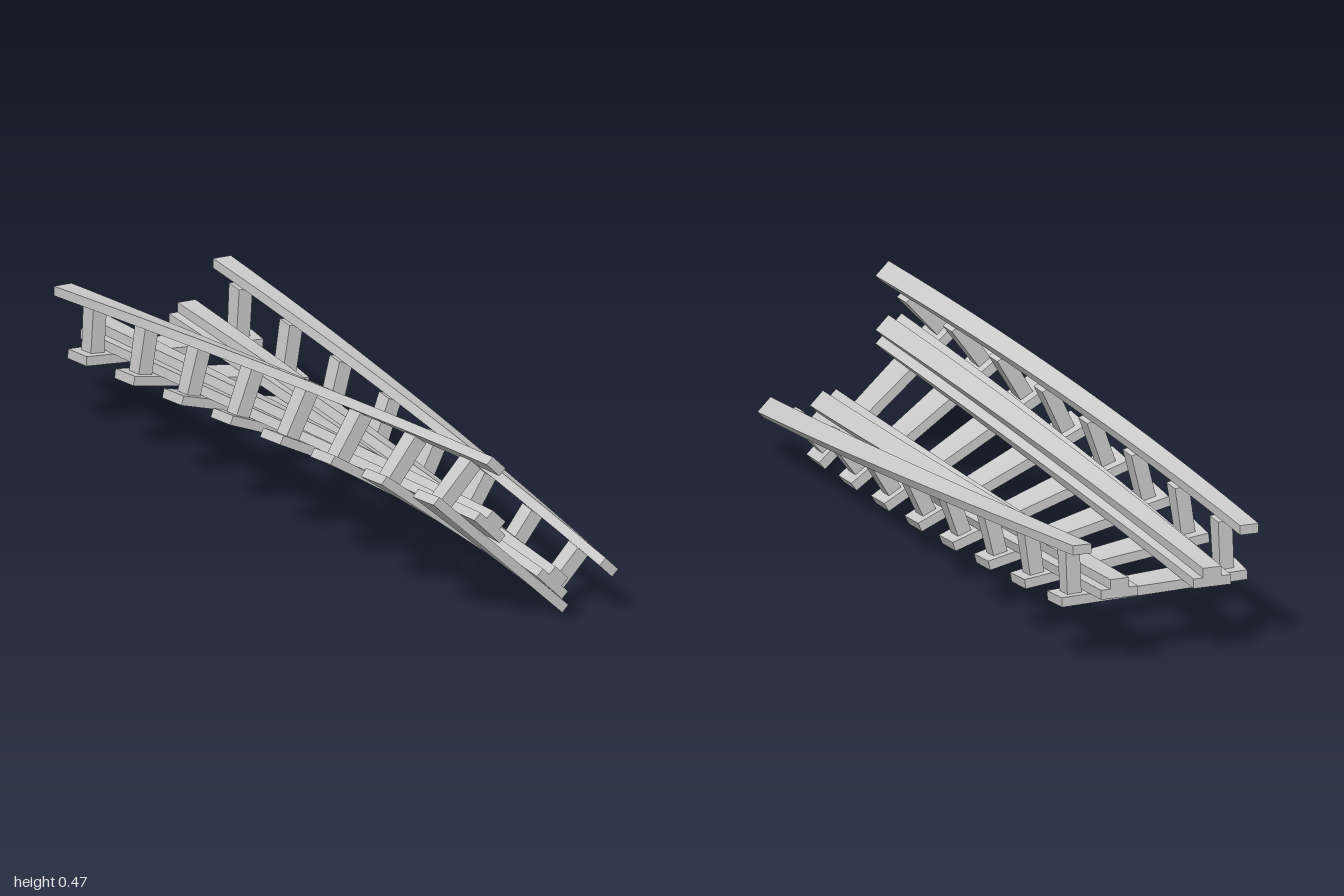
import * as THREE from 'three';
import { toCreasedNormals } from 'three/addons/utils/BufferGeometryUtils.js';

const material = new THREE.MeshStandardMaterial({ color: 0xcccccc });
const PIVOT = { x: -0.02, y: 0.19 }; // axis the track rolls around
const ROLL = Math.PI / 4;            // total roll from back to front

// Roll every vertex about the axis in proportion to its z
function twist(geometry) {
  const p = geometry.attributes.position;
  for (let i = 0; i < p.count; i++) {
    const u = p.getX(i), v = p.getY(i), z = p.getZ(i);
    const a = ROLL * (z + 1) / 2, c = Math.cos(a), s = Math.sin(a);
    p.setXYZ(i, PIVOT.x + u * c + v * s, PIVOT.y - u * s + v * c, z);
  }
  return toCreasedNormals(geometry, 0.5);
}

// Straight bar with the given cross-section from z0 to z1, then twisted
function bar(name, outline, z0, z1, steps) {
  const shape = new THREE.Shape(outline.map(([x, y]) => new THREE.Vector2(x, y)));
  const geometry = new THREE.ExtrudeGeometry(shape, { depth: z1 - z0, steps, bevelEnabled: false });
  geometry.translate(0, 0, z0);
  const mesh = new THREE.Mesh(twist(geometry), material);
  mesh.name = name;
  return mesh;
}

const rect = (x0, x1, y0, y1) => [[x0, y0], [x1, y0], [x1, y1], [x0, y1]];

// Stepped rail section: wide foot, narrow head
const railSection = (x) => [
  [x - 0.05, 0], [x + 0.05, 0], [x + 0.05, 0.025], [x + 0.025, 0.025],
  [x + 0.025, 0.05], [x - 0.025, 0.05], [x - 0.025, 0.025], [x - 0.05, 0.025],
];

export function createModel() {
  const track = new THREE.Group();
  track.name = 'twistedTrack';

  // Rails and handrails on both sides
  for (const [side, s] of [['left', 1], ['right', -1]]) {
    track.add(bar(`${side}Rail`, railSection(s * 0.125), -1, 1, 16));
    const x = s * 0.225;
    track.add(bar(`${side}Handrail`, rect(x - 0.025, x + 0.025, 0.125, 0.15), -1, 1, 16));
  }

  // Cross ties, each carrying a pair of handrail posts
  for (let i = 0; i < 8; i++) {
    const z = -0.875 + i * 0.25;
    track.add(bar(`tie${i + 1}`, rect(-0.25, 0.25, -0.025, 0), z - 0.05, z + 0.05, 1));
    for (const [side, s] of [['left', 1], ['right', -1]]) {
      const x = s * 0.206;
      track.add(bar(`${side}Post${i + 1}`, rect(x - 0.019, x + 0.019, 0, 0.125), z - 0.025, z + 0.025, 1));
    }
  }
  return track;
}
